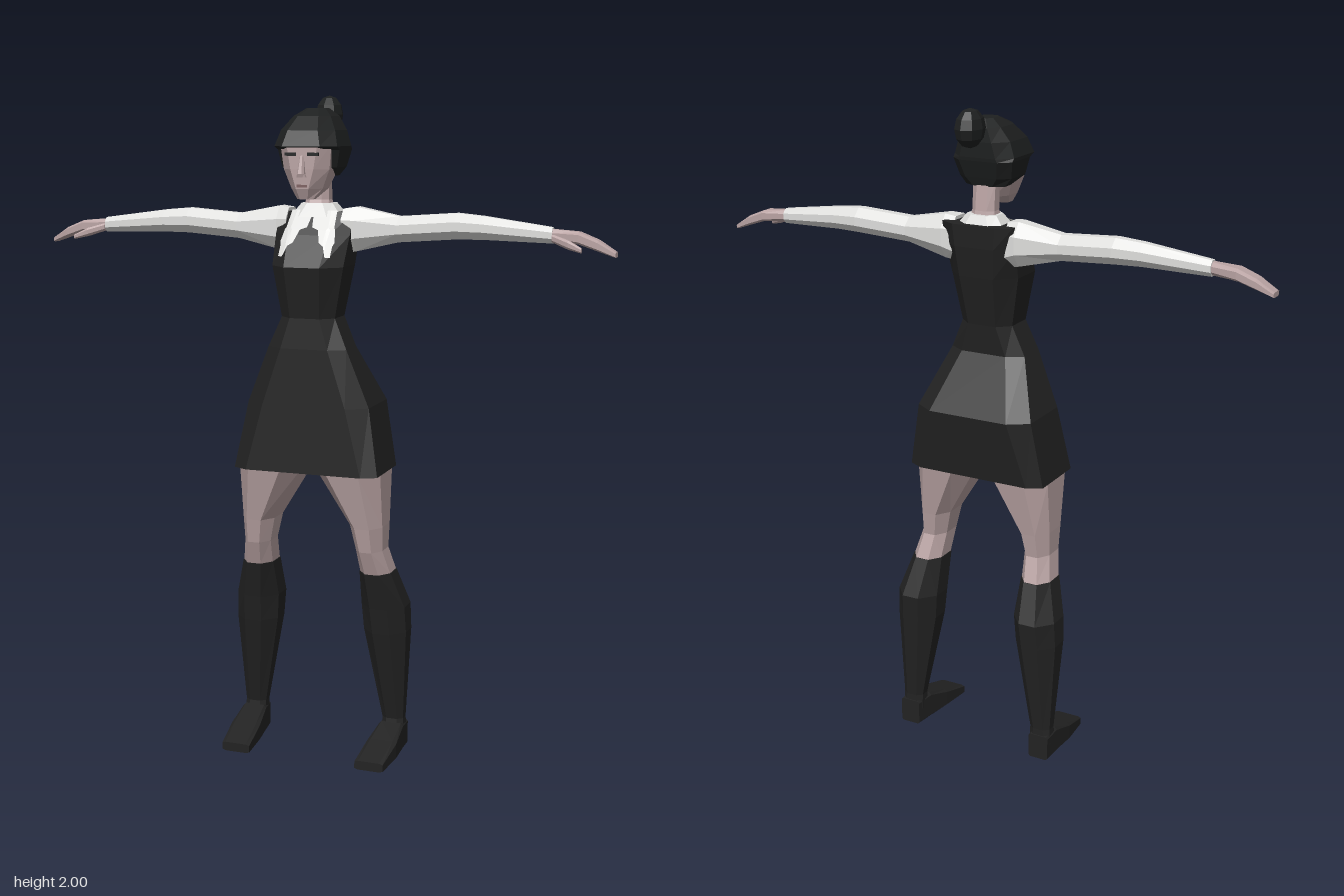
import * as THREE from 'three';

const paint = (name, color) => {
  const m = new THREE.MeshStandardMaterial({ color });
  m.name = name;
  return m;
};

// Eight-sided outline filling a rectangle; k is the share of each side left flat
function octagon(u0, u1, v0, v1, k = 0.5) {
  const cu = (u0 + u1) / 2, cv = (v0 + v1) / 2, a = (u1 - u0) / 2, b = (v1 - v0) / 2;
  return [[k, 1], [1, k], [1, -k], [k, -1], [-k, -1], [-1, -k], [-1, k], [-k, 1]]
    .map(([p, q]) => [cu + p * a, cv + q * b]);
}
// Cross-sections facing up, sideways and forward
const ringY = (y, x0, x1, z0, z1, k) => octagon(x0, x1, z0, z1, k).map(([x, z]) => [x, y, z]);
const ringX = (x, y0, y1, z0, z1, k) => octagon(y0, y1, z0, z1, k).map(([y, z]) => [x, y, z]);
const ringZ = (z, x0, x1, y0, y1, k) => octagon(x0, x1, y0, y1, k).map(([x, y]) => [x, y, z]);
const centred = ([y, w, zb, zf, k]) => ringY(y, -w, w, zb, zf, k);

// Closed faceted skin through the rings, turned outward by its signed volume
function loft(rings, side = 1) {
  const tris = [], n = rings[0].length;
  const R = rings.map(r => r.map(([x, y, z]) => new THREE.Vector3(x * side, y, z)));
  for (let i = 0; i < R.length - 1; i++) {
    for (let j = 0; j < n; j++) {
      const a = R[i][j], b = R[i][(j + 1) % n], c = R[i + 1][(j + 1) % n], d = R[i + 1][j];
      tris.push([a, b, c], [a, c, d]);
    }
  }
  const first = R[0], last = R[R.length - 1];
  for (let j = 1; j < n - 1; j++) {
    tris.push([first[0], first[j + 1], first[j]], [last[0], last[j], last[j + 1]]);
  }
  const volume = tris.reduce((s, [a, b, c]) => s + a.dot(b.clone().cross(c)), 0);
  const points = tris.flatMap(([a, b, c]) => (volume < 0 ? [a, c, b] : [a, b, c]));
  const g = new THREE.BufferGeometry().setFromPoints(points);
  g.computeVertexNormals();
  return g;
}

export function createModel() {
  const skin = paint('skin', 0xb9a3a3);
  const black = paint('black cloth', 0x222222);
  const hairColor = paint('black hair', 0x1e2020);
  const white = paint('white cloth', 0xdededc);
  const lip = paint('lips', 0x7d6060);
  white.side = THREE.DoubleSide;

  const model = new THREE.Group();
  model.name = 'woman';
  const add = (name, geometry, material, parent = model) => {
    const m = new THREE.Mesh(geometry, material);
    m.name = name;
    parent.add(m);
    return m;
  };

  // Dress: y, half width, back z, front z, flatness
  add('dress', loft([
    [0.9, 0.226, -0.096, 0.14, 0.8],
    [1.1, 0.19, -0.125, 0.13, 0.68],
    [1.27, 0.122, -0.025, 0.125, 0.6],
    [1.36, 0.083, -0.035, 0.12, 0.55],
    [1.51, 0.11, -0.07, 0.145, 0.5],
    [1.6, 0.115, -0.082, 0.085, 0.55],
    [1.665, 0.115, -0.085, 0.03, 0.6],
  ].map(centred)), black);

  // Neck and the collar band around it
  add('neck', loft([
    [1.64, 0.05, -0.055, 0.045, 0.5],
    [1.7, 0.036, -0.04, 0.02, 0.5],
    [1.78, 0.036, -0.03, 0.02, 0.5],
  ].map(centred)), skin);
  add('collarBand', loft([
    [1.65, 0.08, -0.075, 0.05, 0.55],
    [1.69, 0.048, -0.055, 0.03, 0.5],
  ].map(centred)), white);

  // Head
  const head = new THREE.Group();
  head.name = 'head';
  model.add(head);
  add('face', loft([
    [1.705, 0.024, 0.075, 0.122, 0.5],
    [1.735, 0.048, 0.0, 0.135, 0.4],
    [1.79, 0.07, -0.02, 0.137, 0.5],
    [1.86, 0.078, -0.03, 0.137, 0.6],
    [1.92, 0.06, -0.03, 0.1, 0.6],
  ].map(centred)), skin, head);
  add('hair', loft([
    [1.77, 0.062, -0.03, 0.04, 0.5],
    [1.795, 0.084, -0.04, 0.1, 0.6],
    [1.845, 0.095, -0.058, 0.11, 0.65],
    [1.855, 0.096, -0.06, 0.147, 0.6],
    [1.9, 0.083, -0.062, 0.13, 0.55],
    [1.94, 0.057, -0.06, 0.085, 0.55],
    [1.963, 0.028, -0.035, 0.035, 0.5],
  ].map(centred)), hairColor, head);
  const bunGeometry = new THREE.SphereGeometry(0.056, 8, 6).toNonIndexed();
  bunGeometry.scale(0.72, 1, 1);
  bunGeometry.computeVertexNormals();
  add('bun', bunGeometry, hairColor, head).position.set(0, 1.944, -0.1);
  add('nose', loft([
    ringY(1.768, -0.014, 0.014, 0.12, 0.152),
    ringY(1.778, -0.011, 0.011, 0.12, 0.155),
    ringY(1.83, -0.006, 0.006, 0.12, 0.14),
  ]), skin, head);
  add('mouth', new THREE.BoxGeometry(0.032, 0.008, 0.008), lip, head).position.set(0, 1.743, 0.133);

  // Collar flap edges: y, inner x, outer x
  const flap = [[1.67, 0, 0.07], [1.622, 0.008, 0.074], [1.615, 0.028, 0.078],
    [1.58, 0.04, 0.084], [1.57, 0.055, 0.08], [1.54, 0.066, 0.08]];
  // Chest surface, lifted slightly so the flap lies on the dress
  const chestZ = (x, y) => {
    const front = y > 1.6 ? 0.085 - (y - 1.6) * 0.846 : 0.145 - (y - 1.51) * 0.667;
    return front + 0.007 - Math.max(0, x - 0.06) * 0.5;
  };

  for (const side of [1, -1]) {
    const limbs = new THREE.Group();
    limbs.name = side > 0 ? 'leftSide' : 'rightSide';
    model.add(limbs);
    const part = (name, rings, material) => add(name, loft(rings, side), material, limbs);

    add('eye', new THREE.BoxGeometry(0.034, 0.009, 0.008), hairColor, limbs)
      .position.set(side * 0.034, 1.833, 0.136);

    const flapGeometry = new THREE.PlaneGeometry(1, 1, 4, flap.length - 1);
    const p = flapGeometry.attributes.position;
    for (let i = 0; i < p.count; i++) {
      const [y, x0, x1] = flap[Math.floor(i / 5)];
      const x = x0 + (x1 - x0) * (i % 5) / 4;
      p.setXYZ(i, side * x, y, chestZ(x, y));
    }
    // Keep the flap facing forward on the mirrored side
    if (side < 0) flapGeometry.index.array.reverse();
    const flatFlap = flapGeometry.toNonIndexed();
    flatFlap.computeVertexNormals();
    add('collarFlap', flatFlap, white, limbs);

    // Sleeve, hand and thumb
    part('sleeve', [
      ringX(0.085, 1.545, 1.675, -0.06, 0.045, 0.5),
      ringX(0.12, 1.55, 1.68, -0.065, 0.035, 0.4),
      ringX(0.25, 1.58, 1.655, -0.05, 0.03, 0.35),
      ringX(0.42, 1.592, 1.667, -0.06, 0.02, 0.35),
      ringX(0.5, 1.593, 1.66, -0.05, 0.018, 0.35),
      ringX(0.7, 1.588, 1.633, -0.032, 0.01, 0.4),
    ], white);
    part('hand', [
      ringX(0.695, 1.592, 1.629, -0.028, 0.008, 0.4),
      ringX(0.775, 1.588, 1.622, -0.042, 0.018, 0.6),
      ringX(0.83, 1.57, 1.6, -0.04, 0.018, 0.6),
      ringX(0.88, 1.553, 1.568, -0.034, 0.012, 0.6),
    ], skin);
    part('thumb', [
      ringX(0.7, 1.592, 1.615, -0.01, 0.012),
      ringX(0.75, 1.575, 1.6, 0.012, 0.036),
      ringX(0.79, 1.566, 1.58, 0.03, 0.045),
    ], skin);

    // Leg, sock and foot
    part('thigh', [
      ringY(0.93, 0.01, 0.205, -0.09, 0.125, 0.5),
      ringY(0.9, 0.025, 0.224, -0.094, 0.138, 0.5),
      ringY(0.735, 0.122, 0.224, -0.062, 0.1, 0.45),
      ringY(0.66, 0.138, 0.222, -0.05, 0.085, 0.45),
      ringY(0.585, 0.143, 0.238, -0.078, 0.056, 0.45),
    ], skin);
    part('sock', [
      ringY(0.585, 0.141, 0.24, -0.08, 0.058, 0.45),
      ringY(0.47, 0.137, 0.274, -0.13, 0.034, 0.4),
      ringY(0.39, 0.143, 0.278, -0.122, 0.022, 0.4),
      ringY(0.1, 0.196, 0.263, -0.092, -0.036, 0.5),
      ringY(0.05, 0.196, 0.266, -0.094, -0.03, 0.6),
    ], black);
    part('foot', [
      ringZ(-0.096, 0.2, 0.265, 0, 0.08, 0.85),
      ringZ(-0.035, 0.19, 0.268, 0, 0.088, 0.8),
      ringZ(0.05, 0.178, 0.272, 0, 0.06, 0.75),
      ringZ(0.153, 0.172, 0.262, 0, 0.028, 0.75),
    ], black);
  }
  return model;
}
